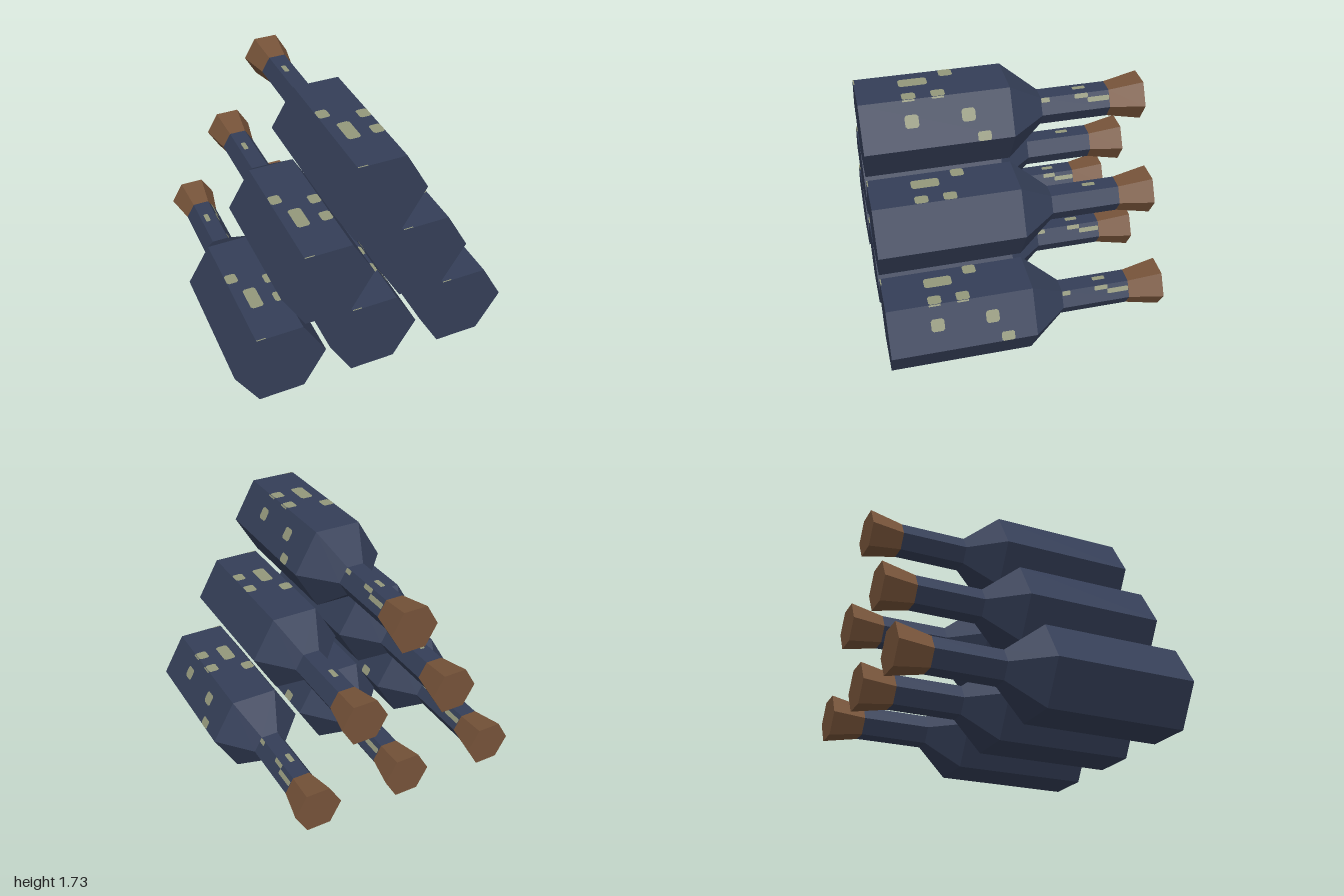
import * as THREE from 'three';

const mat = (name, color) => {
  const m = new THREE.MeshStandardMaterial({ color });
  m.name = name;
  return m;
};

const BODY_R = 0.323, NECK_R = 0.119, CORK_R = 0.167;
const COS30 = Math.cos(Math.PI / 6);

// Hexagonal section along z, from the front end to the back end
function hexSection(name, rFront, rBack, zFront, zBack, material, open) {
  const geo = new THREE.CylinderGeometry(rFront, rBack, zFront - zBack, 6, 1, open, Math.PI / 2)
    .rotateX(Math.PI / 2)
    .translate(0, 0, (zFront + zBack) / 2)
    .toNonIndexed();
  geo.computeVertexNormals();
  const mesh = new THREE.Mesh(geo, material);
  mesh.name = name;
  return mesh;
}

// Thin patch with clipped corners lying on one flat side of the bottle
function patch([u0, u1, z0, z1], radius, material) {
  const c = Math.min(u1 - u0, z1 - z0) * 0.16;
  const shape = new THREE.Shape([
    [u0 + c, -z1], [u1 - c, -z1], [u1, -z1 + c], [u1, -z0 - c],
    [u1 - c, -z0], [u0 + c, -z0], [u0, -z0 - c], [u0, -z1 + c],
  ].map(([x, y]) => new THREE.Vector2(x, y)));
  const geo = new THREE.ShapeGeometry(shape).rotateX(-Math.PI / 2)
    .translate(0, radius * COS30 + 0.002, 0);
  const mesh = new THREE.Mesh(geo, material);
  mesh.name = 'labelPatch';
  return mesh;
}

// Patches as [u0, u1, z0, z1], u running across the flat side
const TOP_BODY = [
  [-0.161, -0.08, 0.32, 0.41], [-0.09, 0, 0.5, 0.69],
  [0.083, 0.161, 0.41, 0.5], [0.083, 0.161, 0.6, 0.69],
  [-0.161, -0.095, 0.965, 0.973],
];
const TOP_NECK = [[-0.03, 0.005, -0.585, -0.495]];
const SIDE_BODY = [
  [-0.0635, 0.023, 0.6, 0.69], [-0.0635, 0.023, 0.23, 0.32],
  [0.098, 0.161, 0.14, 0.23],
  [-0.161, -0.149, 0.61, 0.69], [-0.161, -0.149, 0.42, 0.5],
];
const SIDE_NECK = [
  [-0.059, -0.027, -0.315, -0.256], [-0.059, -0.027, -0.585, -0.49],
  [-0.027, 0.0075, -0.733, -0.58],
];

export function createModel() {
  const glass = mat('navy glass', 0x343e57);
  const label = mat('pale olive patch', 0x93977b);
  const cork = mat('brown cork', 0x765339);

  function bottle(x, y, sidePatches) {
    const g = new THREE.Group();
    g.name = 'bottle';
    g.add(
      hexSection('body', BODY_R, BODY_R, 0.973, -0.015, glass, false),
      hexSection('shoulder', BODY_R, NECK_R, -0.015, -0.255, glass, true),
      hexSection('neck', NECK_R, NECK_R, -0.255, -0.735, glass, true),
      hexSection('cork', NECK_R, CORK_R, -0.735, -0.975, cork, false),
    );

    // Patches on the top flat
    const top = new THREE.Group();
    top.name = 'topPatches';
    TOP_BODY.forEach((p) => top.add(patch(p, BODY_R, label)));
    TOP_NECK.forEach((p) => top.add(patch(p, NECK_R, label)));
    g.add(top);

    // Patches on the upper +x flat
    if (sidePatches) {
      const side = new THREE.Group();
      side.name = 'sidePatches';
      SIDE_BODY.forEach((p) => side.add(patch(p, BODY_R, label)));
      SIDE_NECK.forEach((p) => side.add(patch(p, NECK_R, label)));
      side.rotation.z = -Math.PI / 3;
      g.add(side);
    }
    g.position.set(x, y, 0);
    return g;
  }

  // Stack of three, two and one
  const model = new THREE.Group();
  model.name = 'bottleStack';
  for (let row = 0; row < 3; row++) {
    const count = 3 - row;
    for (let i = 0; i < count; i++) {
      const x = (i - (count - 1) / 2) * 0.677;
      model.add(bottle(x, 0.28 + row * 0.582, row !== 1));
    }
  }
  return model;
}
